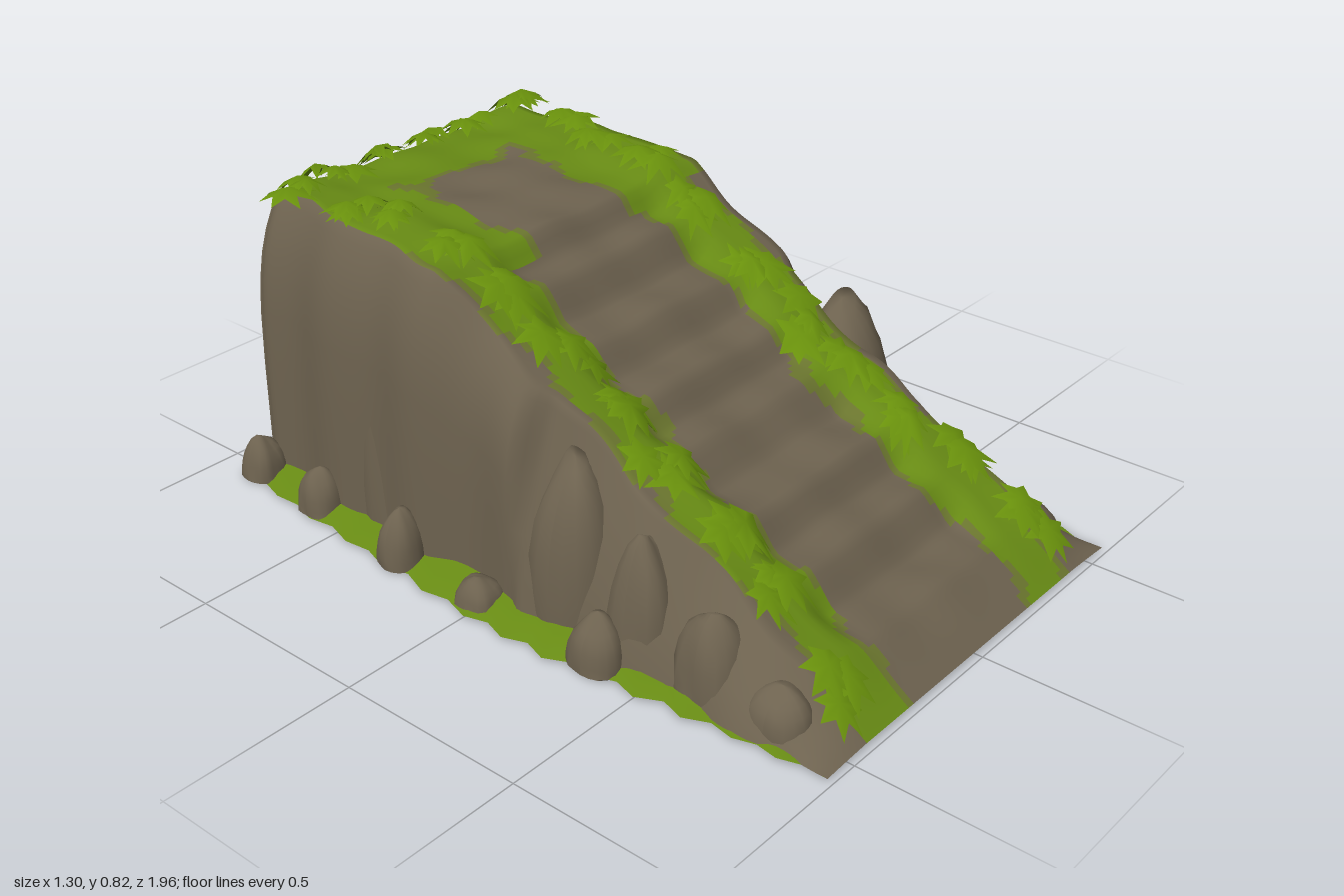
import * as THREE from 'three';
import { mergeGeometries } from 'three/addons/utils/BufferGeometryUtils.js';

const BASE = 0.01;
const { lerp, smoothstep } = THREE.MathUtils;

// Smooth repeatable noise in about -1..1
const noise = (a, b, c = 0) =>
  (Math.sin(a * 2.1 + b * 1.3 + c) + Math.sin(a * -1.7 + b * 2.9 + c * 1.9 + 1) + Math.sin(a * 3.7 - b * 0.8 - c * 2.3 + 2)) / 3;

let seed = 7;
const rand = () => ((seed = (seed * 16807) % 2147483647) / 2147483647);

// Front edge of each step: z, y
const noses = [[0.985, 0.018], [0.85, 0.11], [0.675, 0.21], [0.53, 0.30], [0.335, 0.395], [0.205, 0.48],
  [0.05, 0.57], [-0.11, 0.67], [-0.23, 0.745], [-0.45, 0.765], [-0.83, 0.765], [-0.9, 0.72]];

function profile(z, stepped) {
  for (let i = 0; i < noses.length - 1; i++) {
    const [z0, y0] = noses[i], [z1, y1] = noses[i + 1];
    if (z < z1 && i < noses.length - 2) continue;
    const t = THREE.MathUtils.clamp((z0 - z) / (z0 - z1), 0, 1);
    if (!stepped || i === 0 || i > 7) return lerp(y0, y1, t);
    return lerp(y0, y1, t < 0.62 ? t * 0.3 : lerp(0.186, 1, (t - 0.62) / 0.38));
  }
}

// Height of the walkable surface
function surface(x, z) {
  const side = smoothstep(Math.abs(x), 0.24, 0.33);
  const fade = smoothstep(0.98 - z, 0, 0.15);
  return lerp(profile(z, true), profile(z, false) + 0.012 * fade, side) + 0.008 * fade * noise(x * 8, z * 11);
}

// Half width of the mound at depth z and height fraction f
function halfWidth(z, f) {
  const block = smoothstep(-z, -0.12, -0.06);
  const stair = 0.575 - 0.14 * Math.pow(f, 1.4);
  const wall = 0.545 - 0.085 * Math.pow(f, 6) - 0.05 * smoothstep(-z, 0.25, 0.85);
  const corner = 0.05 * Math.pow(smoothstep(-z, 0.8, 0.9), 2);
  return lerp(stair, wall, block) - corner + 0.012 * Math.sin(z * 19) * smoothstep(0.97 - z, 0, 0.2);
}

// 0 rock, 1 moss, 2 thin moss
function cover(x, z) {
  const n = noise(x * 13, z * 13, 3) * 0.035;
  const ax = Math.abs(x);
  let d;
  if (z > -0.2) d = 0.085 - Math.abs(ax - 0.33) + n;
  else d = Math.min(Math.max(ax - 0.18, -0.62 - z) + n, 0.46 - ax);
  return d > 0.012 ? 1 : d > -0.012 ? 2 : 0;
}

// Mound with steps, lofted from cross-sections front to back
function moundGeometry() {
  const sideF = [0, 0.2, 0.4, 0.6, 0.72, 0.82, 0.9, 0.96];
  const topN = 44, rows = 120, pos = [], groups = [[], [], []];
  const cols = sideF.length * 2 + topN + 1;
  for (let i = 0; i <= rows; i++) {
    const z = lerp(0.985, -0.9, i / rows);
    const w = halfWidth(z, 1);
    const wallPoint = (f, s) => pos.push(s * halfWidth(z, f), lerp(BASE, surface(s * w, z), f), z);
    sideF.forEach(f => wallPoint(f, -1));
    for (let j = 0; j <= topN; j++) {
      const x = lerp(-w, w, j / topN);
      pos.push(x, surface(x, z), z);
    }
    [...sideF].reverse().forEach(f => wallPoint(f, 1));
  }
  for (let i = 0; i < rows; i++) for (let j = 0; j < cols - 1; j++) {
    const a = i * cols + j, b = a + 1, c = a + cols, d = c + 1;
    const top = j >= sideF.length && j < sideF.length + topN;
    const kind = top ? cover((pos[a * 3] + pos[b * 3]) / 2, (pos[a * 3 + 2] + pos[c * 3 + 2]) / 2) : 0;
    groups[kind].push(a, b, c, b, d, c);
  }
  // Back wall
  const start = pos.length / 3, last = rows * cols;
  for (let j = 0; j < cols; j++) pos.push(...pos.slice((last + j) * 3, (last + j) * 3 + 3));
  pos.push(0, 0.35, -0.905);
  for (let j = 0; j < cols; j++) groups[0].push(start + cols, start + j, start + (j + 1) % cols);

  const g = new THREE.BufferGeometry();
  g.setAttribute('position', new THREE.Float32BufferAttribute(pos, 3));
  g.setIndex(groups.flat());
  let at = 0;
  groups.forEach((list, k) => { g.addGroup(at, list.length, k); at += list.length; });
  g.computeVertexNormals();
  return g;
}

// Rounded boulder sitting on the ground
function boulder(x, z, rx, h, rz) {
  const g = new THREE.SphereGeometry(1, 20, 14), p = g.attributes.position;
  for (let i = 0; i < p.count; i++) {
    const a = p.getX(i), b = p.getY(i), c = p.getZ(i);
    const k = 1 + 0.08 * noise(a * 2 + x * 9, c * 2 + z * 7, b * 2);
    const box = Math.pow(a ** 4 + b ** 4 + c ** 4, -0.12);
    p.setXYZ(i, x + a * rx * k * box, Math.max(BASE, b * h * k), z + c * rz * k * box);
  }
  g.computeVertexNormals();
  return g;
}

// Jagged leaf rosette that follows the surface below it
function leafClump(x, z, r, lift) {
  const n = 7, pos = [x, surface(x, z) + lift + 0.018, z], idx = [], turn = rand() * 6;
  for (let i = 0; i < n * 2; i++) {
    const tip = i % 2 === 0;
    const a = turn + (i + rand() * 0.5) / n * Math.PI;
    const d = r * (tip ? 0.85 + rand() * 0.35 : 0.55);
    const px = THREE.MathUtils.clamp(x + Math.cos(a) * d, -0.52, 0.52);
    const pz = THREE.MathUtils.clamp(z + Math.sin(a) * d, -0.92, 0.985);
    pos.push(px, surface(px, pz) + (tip ? lift * 0.5 : lift + 0.006), pz);
    idx.push(0, 1 + (i + 1) % (n * 2), 1 + i);
  }
  const g = new THREE.BufferGeometry();
  g.setAttribute('position', new THREE.Float32BufferAttribute(pos, 3));
  g.setIndex(idx);
  g.computeVertexNormals();
  return g;
}

// Ragged ground outline from the right front corner round the back to the left
function groundOutline() {
  const half = [[0.575, 0.975], [0.59, 0.75], [0.61, 0.5], [0.635, 0.25], [0.64, 0], [0.615, -0.3], [0.585, -0.6], [0.555, -0.89], [0.34, -0.95]];
  const path = [...half, [0, -0.965], ...half.map(([x, z]) => [-x, z]).reverse()];
  const out = [];
  for (let i = 0; i < path.length - 1; i++) for (let k = 0; k < 4; k++) {
    const x = lerp(path[i][0], path[i + 1][0], k / 4), z = lerp(path[i][1], path[i + 1][1], k / 4);
    const s = i + k === 0 ? 1 : 1 + (k % 2 ? -0.02 : 0.025) * (0.4 + rand() * 0.6);
    out.push([x * s, Math.max(-0.995, z < -0.85 ? z * s : z)]);
  }
  out.push([-0.575, 0.975]);
  return out;
}

function skirtGeometry(outline) {
  const pos = [], idx = [];
  outline.forEach(([x, z], i) => {
    const bump = 0.012 * noise(i * 2, i);
    const slope = smoothstep(0.98 - z, 0, 0.2);
    pos.push(x, BASE, z, x * 0.94, BASE + 0.022 * slope + bump * slope, z * 0.965, x * 0.82, BASE + 0.045 * slope, z * 0.9);
  });
  for (let i = 0; i < outline.length - 1; i++) for (let k = 0; k < 2; k++) {
    const a = i * 3 + k, b = a + 3;
    idx.push(a, b, a + 1, b, b + 1, a + 1);
  }
  const g = new THREE.BufferGeometry();
  g.setAttribute('position', new THREE.Float32BufferAttribute(pos, 3));
  g.setIndex(idx);
  g.computeVertexNormals();
  return g;
}

export function createModel() {
  seed = 7;
  const model = new THREE.Group();
  const material = (name, color, side = THREE.FrontSide) => {
    const m = new THREE.MeshStandardMaterial({ color, side });
    m.name = name;
    return m;
  };
  const rock = material('rock', 0x6d624f);
  const moss = material('moss', 0x678a14, THREE.DoubleSide);
  const thinMoss = material('thin moss', 0x6a752e);
  const leaf = material('leaf moss', 0x6a920c, THREE.DoubleSide);
  const add = (name, geometry, mat) => {
    const mesh = new THREE.Mesh(geometry, mat);
    mesh.name = name;
    model.add(mesh);
  };

  add('steppedMound', moundGeometry(), [rock, moss, thinMoss]);

  // Large side boulders: x, z, half width, height, half depth
  add('sideBoulders', mergeGeometries([
    [0.475, 0.25, 0.14, 0.49, 0.15], [0.48, 0.58, 0.09, 0.22, 0.1], [0.49, 0.8, 0.08, 0.11, 0.09],
    [-0.47, 0.2, 0.1, 0.43, 0.12], [-0.48, 0.42, 0.09, 0.32, 0.1], [-0.49, 0.62, 0.08, 0.22, 0.09], [-0.5, 0.81, 0.07, 0.12, 0.08],
    [0.43, -0.06, 0.09, 0.6, 0.16], [-0.43, -0.06, 0.09, 0.6, 0.16],
    [0.44, -0.38, 0.09, 0.71, 0.15], [-0.44, -0.38, 0.09, 0.71, 0.15],
  ].map(b => boulder(...b))), rock);

  // Small stones round the foot
  const stones = [];
  for (const s of [-1, 1]) {
    for (const [x, z, h] of [[0.52, -0.86, 0.12], [0.54, -0.61, 0.13], [0.575, -0.28, 0.155], [0.58, -0.01, 0.08]])
      stones.push(boulder(s * x, z, 0.055, h, 0.06));
  }
  stones.push(boulder(0.57, 0.49, 0.06, 0.12, 0.06), boulder(-0.58, 0.36, 0.06, 0.14, 0.07));
  add('footStones', mergeGeometries(stones), rock);

  // Leaf clumps along both sides of the steps and round the landing
  const clumps = [];
  const spots = [[0.4, 0.88], [0.37, 0.68], [0.34, 0.52], [0.34, 0.37], [0.33, 0.22], [0.33, 0.06], [0.32, -0.13],
    [0.37, -0.28], [0.35, -0.45], [0.39, -0.6], [0.4, -0.77], [0.24, -0.81], [0.08, -0.83]];
  for (const s of [-1, 1]) for (const [x, z] of spots) for (let k = 0; k < 3; k++)
    clumps.push(leafClump(s * x + (rand() - 0.5) * 0.09, z + (rand() - 0.5) * 0.09, 0.05 + rand() * 0.025, 0.012 + k * 0.006));
  add('leafClumps', mergeGeometries(clumps), leaf);

  // Ground moss and flat underside
  const outline = groundOutline();
  add('groundMoss', skirtGeometry(outline), moss);
  const plate = new THREE.ShapeGeometry(new THREE.Shape(outline.map(([x, z]) => new THREE.Vector2(x, z))));
  plate.rotateX(Math.PI / 2).translate(0, BASE - 0.004, 0);
  add('underside', plate, rock);
  return model;
}
